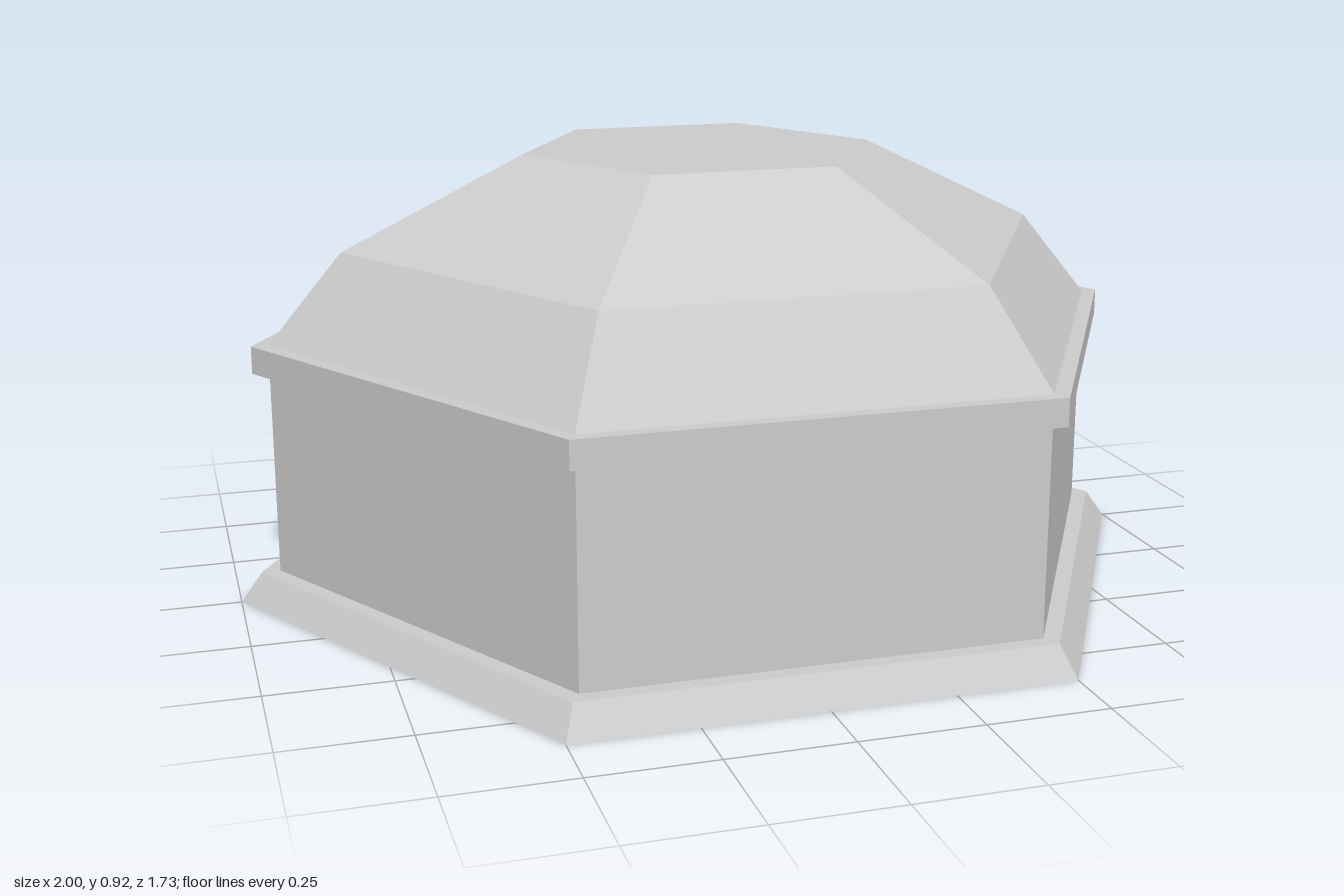
import * as THREE from 'three';

const material = new THREE.MeshStandardMaterial({ color: 0xcccccc, flatShading: true });

// Six-sided ring swept from [radius, height] points, with corners on the x axis
function hexPart(name, profile) {
  const points = profile.map(([r, y]) => new THREE.Vector2(r, y));
  const mesh = new THREE.Mesh(new THREE.LatheGeometry(points, 6, Math.PI / 2), material);
  mesh.name = name;
  return mesh;
}

export function createModel() {
  const group = new THREE.Group();
  group.name = 'hexagonalDomedBuilding';

  group.add(
    // Closed underside, sloping skirt and narrow ledge
    hexPart('base', [[0, 0], [1, 0], [0.955, 0.062], [0.917, 0.062]]),
    // Upright walls
    hexPart('walls', [[0.917, 0.062], [0.917, 0.493]]),
    // Projecting band under the roof
    hexPart('rim', [[0.917, 0.493], [0.952, 0.493], [0.952, 0.55], [0.917, 0.55]]),
    // Two-pitch roof with a flat top
    hexPart('roof', [[0.917, 0.55], [0.762, 0.735], [0.38, 0.92], [0, 0.92]])
  );
  return group;
}
